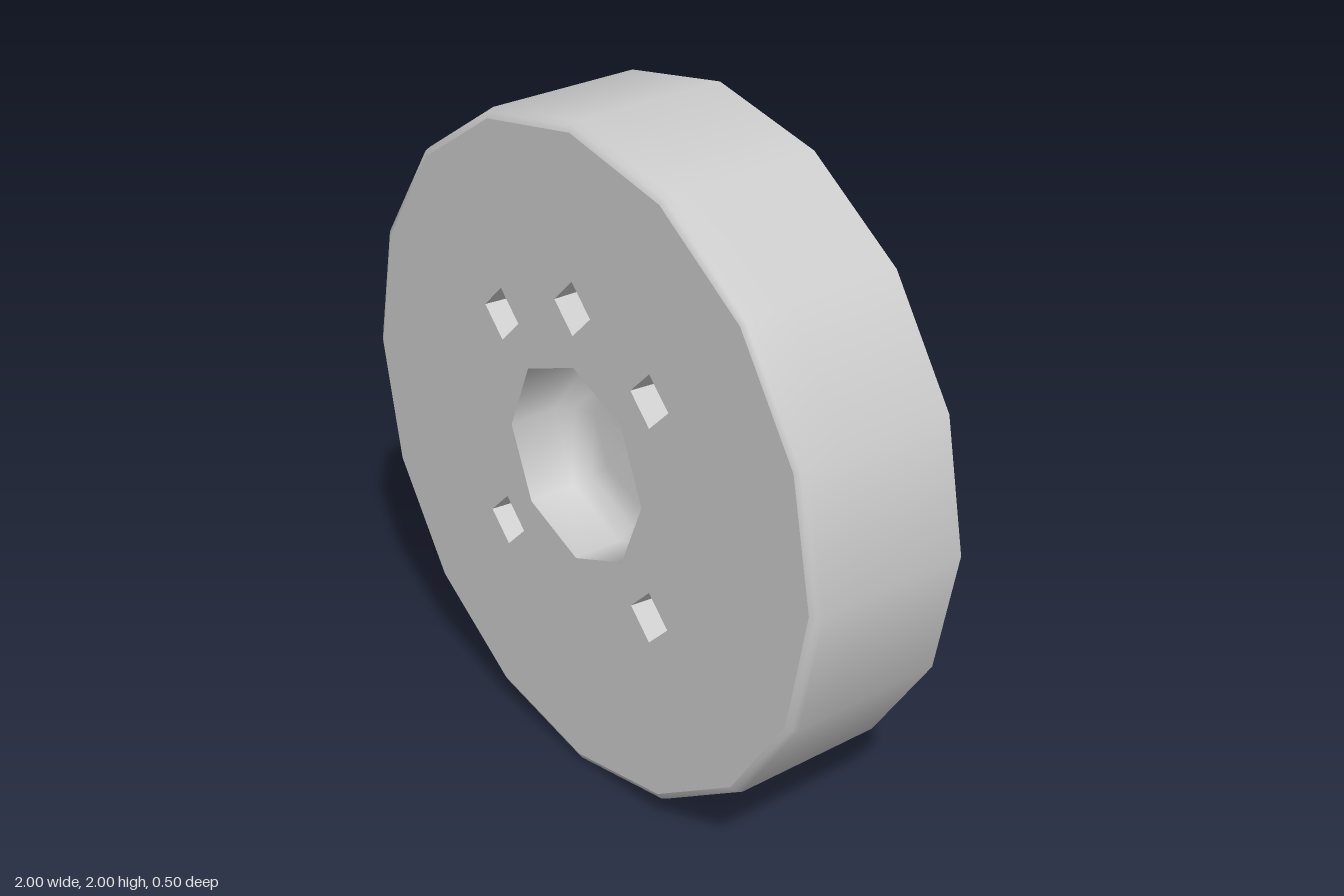
import * as THREE from 'three';
import { toCreasedNormals } from 'three/addons/utils/BufferGeometryUtils.js';

export function createModel() {
  const model = new THREE.Group();
  const material = new THREE.MeshStandardMaterial({ color: 0xcccccc });
  const front = 0.25, back = -0.25, rimRadius = 0.975;

  function add(name, geometry, x = 0, y = 1, z = 0) {
    const mesh = new THREE.Mesh(geometry, material);
    mesh.name = name;
    mesh.position.set(x, y, z);
    model.add(mesh);
  }

  // Revolve [radius, z] pairs around the z axis
  function turned(profile, sides) {
    const points = profile.map(([r, z]) => new THREE.Vector2(r, z));
    return new THREE.LatheGeometry(points, sides).rotateX(Math.PI / 2);
  }

  function polygon(radius, sides, cx = 0, cy = 0, PathType = THREE.Path) {
    const points = [];
    for (let i = 0; i < sides; i++) {
      const a = (i / sides) * Math.PI * 2;
      points.push(new THREE.Vector2(cx + radius * Math.cos(a), cy + radius * Math.sin(a)));
    }
    return new PathType(points);
  }

  // Outer wall with a small rounded front edge
  add('outerWall', turned([[1, back], [1, 0.1], [1, 0.222], [0.992, 0.241], [rimRadius, front]], 16));

  // Flat back
  add('backFace', new THREE.CircleGeometry(1, 16).rotateY(Math.PI), 0, 1, back);

  // Front face with openings for the hub and the five bolt holes
  const bolts = [[0, 0.475], [-0.333, 0.335], [0.333, 0.335], [-0.333, -0.33], [0.333, -0.33]];
  const face = polygon(rimRadius, 16, 0, 0, THREE.Shape);
  face.holes.push(polygon(0.3, 8));
  for (const [x, y] of bolts) face.holes.push(polygon(0.08, 4, x, y));
  add('frontFace', new THREE.ShapeGeometry(face), 0, 1, front);

  // Eight-sided hub recess with a softened floor
  add('hubRecess', turned([[0.3, front], [0.3, 0.1], [0.27, 0.05], [0.2, 0.03], [0, 0.02]], 8));

  // Square bolt recesses, slightly tapered
  for (const [x, y] of bolts) {
    const floor = x === 0 ? 0.077 : 0.062;
    const pit = toCreasedNormals(turned([[0.08, front], [floor, 0.08], [0, 0.08]], 4), 0.5);
    add('boltRecess', pit, x, 1 + y);
  }

  return model;
}
